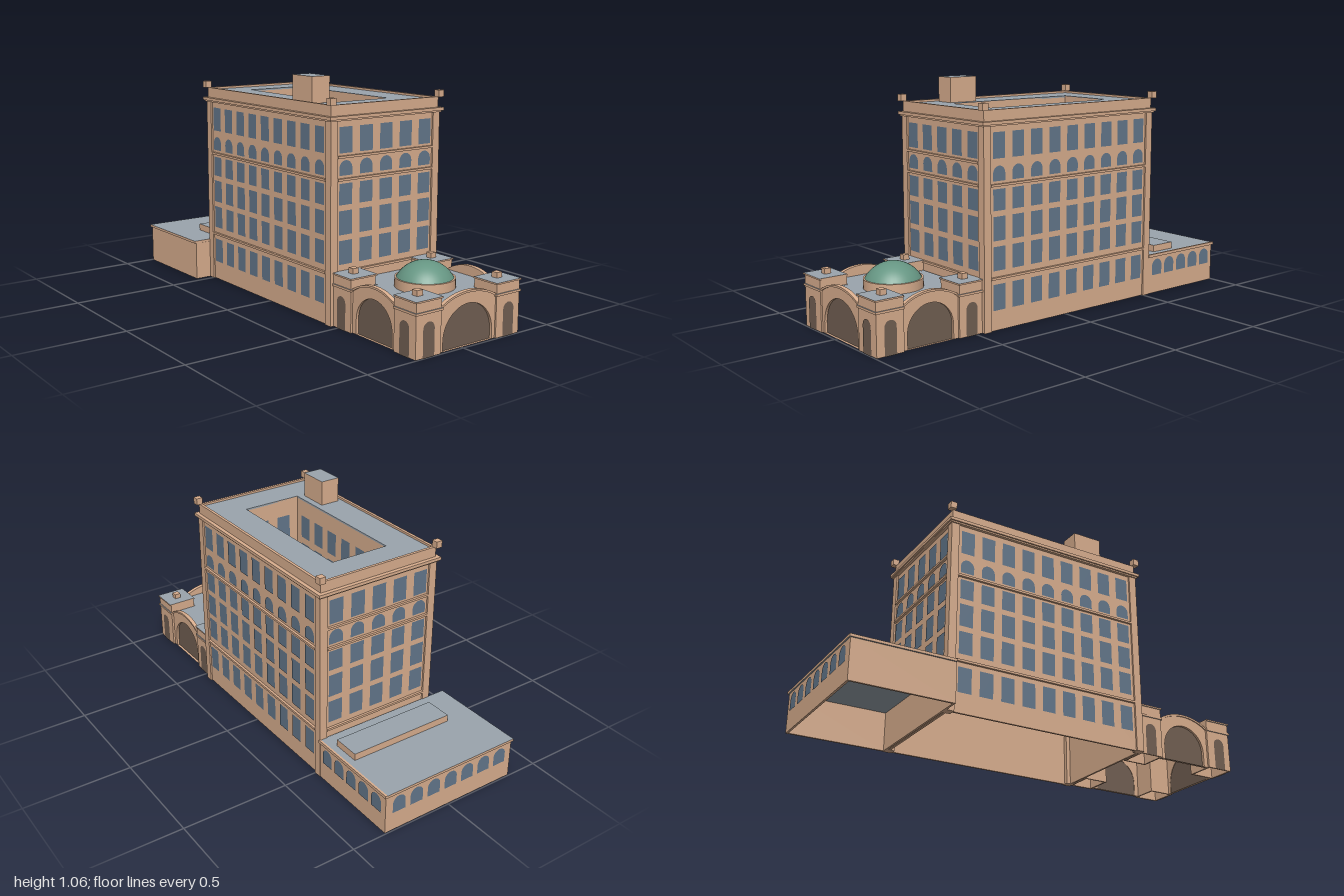
import * as THREE from 'three';

const mat = (name, color, side = THREE.FrontSide) => {
  const m = new THREE.MeshStandardMaterial({ color, side });
  m.name = name;
  return m;
};

export function createModel() {
  const model = new THREE.Group();
  const stone = mat('sandstone', 0xd9ae8e);
  const roof = mat('grey roof', 0x9aa4ad);
  const glass = mat('blue glass', 0x63778b, THREE.DoubleSide);
  const dark = mat('dark archway', 0x715f52, THREE.DoubleSide);
  const copper = mat('green copper', 0x669683, THREE.DoubleSide);
  const slabMats = [stone, stone, roof, roof, stone, stone];

  const add = (name, geo, material, parent = model) => {
    const mesh = new THREE.Mesh(geo, material);
    mesh.name = name;
    parent.add(mesh);
    return mesh;
  };
  // Box given by its limits
  const box = (name, x0, x1, y0, y1, z0, z1, material = stone, parent = model) => {
    const mesh = add(name, new THREE.BoxGeometry(x1 - x0, y1 - y0, z1 - z0), material, parent);
    mesh.position.set((x0 + x1) / 2, (y0 + y1) / 2, (z0 + z1) / 2);
    return mesh;
  };
  // Counter-clockwise rectangle in plan
  const rectPath = (P, x0, x1, z0, z1) => {
    const p = new P();
    p.moveTo(x0, -z1);
    p.lineTo(x1, -z1);
    p.lineTo(x1, -z0);
    p.lineTo(x0, -z0);
    p.closePath();
    return p;
  };
  // Horizontal plate or wall ring with a rectangular opening
  const frame = (name, outer, inner, y0, y1, material = stone) => {
    const s = rectPath(THREE.Shape, ...outer);
    s.holes.push(rectPath(THREE.Path, ...inner));
    const g = new THREE.ExtrudeGeometry(s, { depth: y1 - y0, bevelEnabled: false });
    g.rotateX(-Math.PI / 2).translate(0, y0, 0);
    return add(name, g, material);
  };
  const grow = ([x0, x1, z0, z1], d) => [x0 - d, x1 + d, z0 - d, z1 + d];
  const walls = (name, r, y0, y1, t = 0.01) => frame(name, r, grow(r, -t), y0, y1);

  // Round-headed opening standing on y = 0
  const arch = (P, w, h) => {
    const p = new P(), r = w / 2;
    p.moveTo(-r, 0);
    p.lineTo(r, 0);
    p.lineTo(r, h - r);
    p.absarc(0, h - r, r, 0, Math.PI, false);
    p.closePath();
    return p;
  };
  const archFace = (w, h) => new THREE.ShapeGeometry(arch(THREE.Shape, w, h), 16);
  // Group on a wall, its local +z pointing out of the wall
  const side = (name, x, z, ry) => {
    const g = new THREE.Group();
    g.name = name;
    g.position.set(x, 0, z);
    g.rotation.y = ry;
    model.add(g);
    return g;
  };
  const windows = (parent, cols, step, w, rows) => {
    for (const [y0, y1, round] of rows) {
      for (let i = 0; i < cols; i++) {
        const h = y1 - y0;
        const geo = round ? archFace(w, h) : new THREE.PlaneGeometry(w, h).translate(0, h / 2, 0);
        add('window', geo, glass, parent).position.set((i - (cols - 1) / 2) * step, y0, 0.003);
      }
    }
  };

  // Main block
  const main = [-0.263, 0.333, -0.526, 0.461];
  const well = [-0.108, 0.176, -0.385, 0.302];
  const [mx0, mx1, mz0, mz1] = main;
  const cx = (mx0 + mx1) / 2, cz = (mz0 + mz1) / 2;
  walls('main walls', main, 0, 0.89);
  frame('lower cornice', grow(main, 0.014), grow(main, -0.01), 0.886, 0.893);
  frame('cornice', grow(main, 0.021), grow(main, -0.01), 0.893, 0.907);
  frame('parapet', grow(main, 0.003), grow(main, -0.01), 0.907, 0.954);
  frame('main roof', grow(main, -0.009), well, 0.936, 0.944, roof);
  frame('light well walls', grow(well, 0.008), well, 0.25, 0.942);
  box('light well floor', well[0] - 0.008, well[1] + 0.008, 0.24, 0.25, well[2] - 0.008, well[3] + 0.008, roof);
  for (const [x, sx] of [[mx0, 1], [mx1, -1]]) {
    for (const [z, sz] of [[mz0, 1], [mz1, -1]]) {
      const fx = x - sx * 0.005, fz = z - sz * 0.007;
      box('roof finial', fx - 0.015, fx + 0.015, 0.954, 0.985, fz - 0.015, fz + 0.015);
      const px = [x - sx * 0.008, x + sx * 0.03].sort((a, b) => a - b);
      const pz = [z - sz * 0.008, z + sz * 0.03].sort((a, b) => a - b);
      box('corner pier', ...px, 0, 0.886, ...pz);
    }
  }
  box('rooftop hut', -0.234, -0.14, 0.94, 1.06, 0.143, 0.288, slabMats);

  // Facades: windows and string courses
  const rows = [[0.265, 0.37], [0.395, 0.5], [0.525, 0.618], [0.652, 0.717, true], [0.748, 0.86]];
  const low = [0.09, 0.205];
  const facades = [
    ['front facade', cx, mz1, 0, 5, 0.111, 0.07, 0.268, rows, [0.232, 0.635, 0.732]],
    ['back facade', cx, mz0, Math.PI, 5, 0.111, 0.07, 0.268, rows, [0.232, 0.635, 0.732]],
    ['left facade', mx1, cz, Math.PI / 2, 9, 0.104, 0.065, 0.464, [low, ...rows], [0.232, 0.635]],
    ['right facade', mx0, cz, -Math.PI / 2, 9, 0.104, 0.065, 0.464, [low, ...rows], [0.232, 0.635]],
  ];
  for (const [name, x, z, ry, cols, step, w, half, list, courses] of facades) {
    const g = side(name, x, z, ry);
    windows(g, cols, step, w, list);
    for (const y of courses) box('string course', -half, half, y - 0.005, y + 0.005, 0, 0.011, stone, g);
  }
  // Light well windows
  const wx = (well[0] + well[1]) / 2, wz = (well[2] + well[3]) / 2;
  const wellRows = rows.map(([a, b]) => [a, b]);
  windows(side('well right side', well[0], wz, Math.PI / 2), 6, 0.108, 0.065, wellRows);
  windows(side('well left side', well[1], wz, -Math.PI / 2), 6, 0.108, 0.065, wellRows);
  windows(side('well back side', wx, well[2], 0), 2, 0.12, 0.07, wellRows);
  windows(side('well front side', wx, well[3], Math.PI), 2, 0.12, 0.07, wellRows);

  // Rear wing
  walls('wing walls', [-0.35, 0.338, -0.994, -0.53], 0, 0.182);
  box('wing roof slab', -0.357, 0.345, 0.181, 0.193, -1, -0.531, slabMats);
  box('wing roof edge', 0.335, 0.345, 0.193, 0.195, -1, -0.531);
  box('wing skylight', -0.21, 0.302, 0.193, 0.225, -0.735, -0.607, slabMats);
  windows(side('wing left side', 0.338, -0.762, Math.PI / 2), 5, 0.086, 0.066, [[0.09, 0.168, true]]);
  windows(side('wing back side', -0.006, -0.994, Math.PI), 7, 0.092, 0.066, [[0.09, 0.168, true]]);

  // Entrance pavilion: four corner towers
  const px = 0.035, pz = 0.727;
  for (const [x0, x1, s] of [[-0.254, -0.12, -1], [0.19, 0.324, 1]]) {
    for (const [z0, z1, front] of [[0.466, 0.588, false], [0.864, 0.995, true]]) {
      walls('tower walls', [x0, x1, z0, z1], 0, 0.182, 0.008);
      box('tower cornice', x0 - 0.005, x1 + 0.005, 0.181, 0.191, z0, z1 + 0.005, slabMats);
      box('tower attic', x0, x1, 0.191, 0.231, z0, z1);
      box('tower cap', x0 - 0.005, x1 + 0.005, 0.231, 0.238, z0, z1 + 0.005, slabMats);
      const fx = px + s * 0.223, fz = front ? 0.927 : 0.522;
      box('tower finial', fx - 0.015, fx + 0.015, 0.238, 0.262, fz - 0.015, fz + 0.015);
      const outer = side('tower side arch', s < 0 ? x0 : x1, fz + 0.003, s * Math.PI / 2);
      add('small arch', archFace(0.058, 0.148), dark, outer).position.z = 0.003;
      if (front) {
        const face = side('tower front arch', px + s * 0.223, z1, 0);
        add('small arch', archFace(0.061, 0.148), dark, face).position.z = 0.003;
      }
    }
  }
  box('pavilion roof', -0.243, 0.313, 0.182, 0.19, 0.466, 0.985, roof);

  // Curved gables with large archways
  const gable = (name, x, z, ry, half, archWidth) => {
    const g = side(name, x, z, ry);
    const s = new THREE.Shape();
    s.moveTo(-half, 0);
    s.lineTo(half, 0);
    s.lineTo(half, 0.19);
    s.quadraticCurveTo(half * 0.55, 0.232, 0, 0.232);
    s.quadraticCurveTo(-half * 0.55, 0.232, -half, 0.19);
    s.closePath();
    s.holes.push(arch(THREE.Path, archWidth, 0.18));
    add('gable wall', new THREE.ExtrudeGeometry(s, { depth: 0.014, bevelEnabled: false, curveSegments: 16 }), stone, g).position.z = -0.014;
    add('large arch', archFace(archWidth, 0.18), dark, g).position.z = -0.012;
    // Raised coping following the curve
    const c = new THREE.Shape();
    c.moveTo(half, 0.182);
    c.lineTo(half, 0.192);
    c.quadraticCurveTo(half * 0.55, 0.235, 0, 0.235);
    c.quadraticCurveTo(-half * 0.55, 0.235, -half, 0.192);
    c.lineTo(-half, 0.182);
    c.quadraticCurveTo(-half * 0.55, 0.226, 0, 0.226);
    c.quadraticCurveTo(half * 0.55, 0.226, half, 0.182);
    add('gable coping', new THREE.ExtrudeGeometry(c, { depth: 0.02, bevelEnabled: false, curveSegments: 16 }), stone, g).position.z = -0.015;
  };
  gable('front gable', px, 0.988, 0, 0.156, 0.276);
  gable('left gable', 0.314, pz, Math.PI / 2, 0.14, 0.23);
  gable('right gable', -0.244, pz, -Math.PI / 2, 0.14, 0.23);

  // Dome: spherical cap on a low drum
  const drum = add('dome drum', new THREE.CylinderGeometry(0.13, 0.13, 0.042, 40), stone);
  drum.position.set(px, 0.211, pz);
  const a = 0.122, h = 0.071, R = (a * a + h * h) / (2 * h);
  const cap = new THREE.SphereGeometry(R, 40, 12, 0, Math.PI * 2, 0, Math.asin(a / R));
  add('dome', cap, copper).position.set(px, 0.303 - R, pz);

  return model;
}
